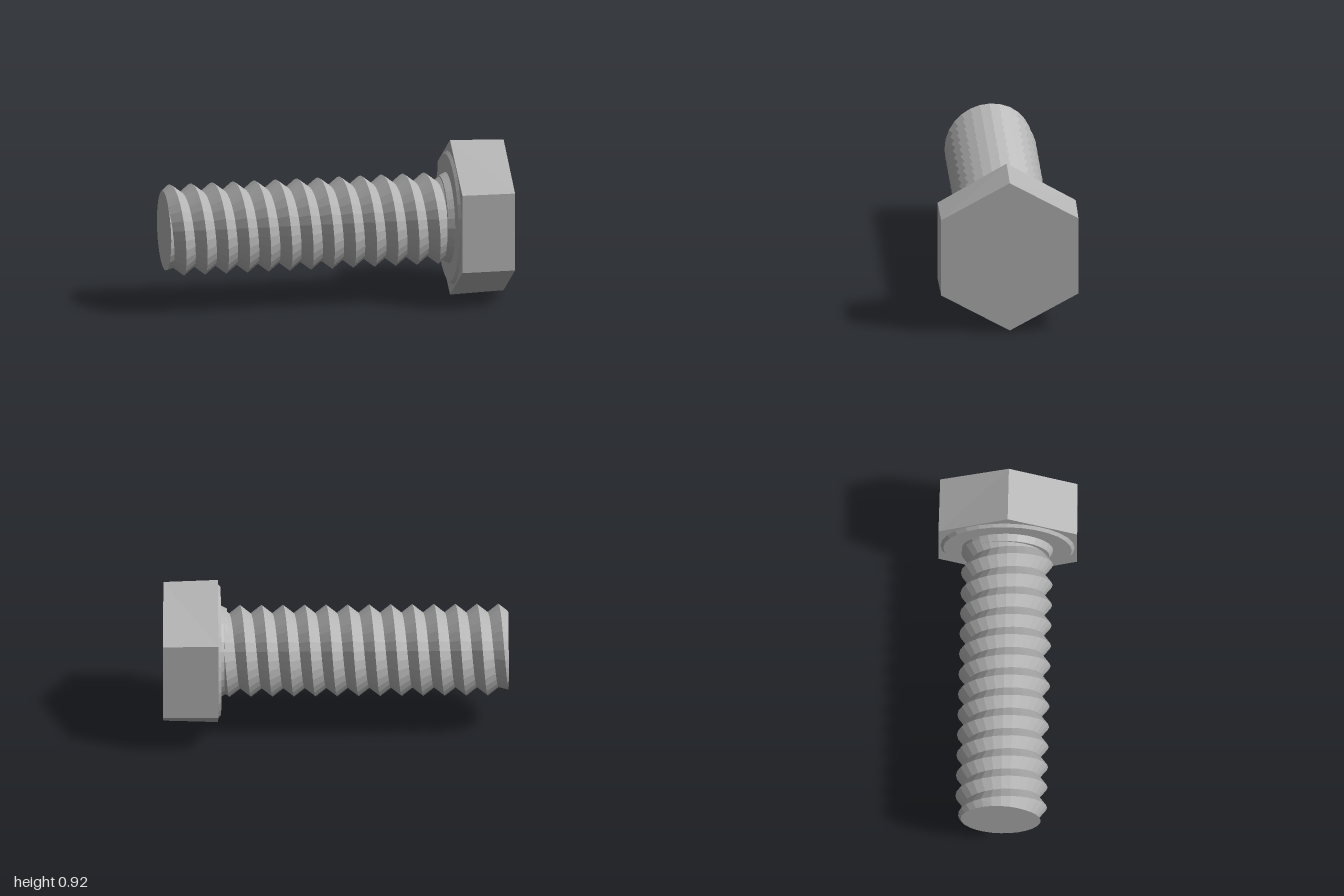
import * as THREE from 'three';

const AXIS_Y = 0.463;
const steel = new THREE.MeshStandardMaterial({ color: 0xb3b3b3 });
steel.name = 'steel grey';

// Faceted mesh lying along the bolt's axis
function part(name, geometry) {
  const flat = geometry.index ? geometry.toNonIndexed() : geometry;
  flat.computeVertexNormals();
  const mesh = new THREE.Mesh(flat, steel);
  mesh.name = name;
  mesh.position.y = AXIS_Y;
  return mesh;
}

// Cylinder from x0 to x1 with its own radius at each end
function disc(x0, x1, r0, r1, sides, start = 0) {
  return new THREE.CylinderGeometry(r1, r0, x1 - x0, sides, 1, false, start)
    .rotateZ(-Math.PI / 2).translate((x0 + x1) / 2, 0, 0);
}

// Right-handed V thread: crest and root lines wind along the shank
function threadGeometry() {
  const start = -1, end = 0.645, pitch = 0.1245, root = 0.218, crest = 0.266;
  const sides = 28, firstCrest = -0.952;
  const steps = Math.ceil((end - start) / pitch) * 2 + 8;

  const column = (j) => {
    const a = (j % sides) / sides * Math.PI * 2;
    const shift = firstCrest + pitch * a / (Math.PI * 2);
    const at = (x, r) => new THREE.Vector3(x, r * Math.cos(a), r * Math.sin(a));
    const points = [at(start, 0)];
    for (let k = 0; k < steps; k++) {
      // the last column is the first one, one turn further on
      const turn = j === sides ? 2 : 0;
      const x = THREE.MathUtils.clamp(shift + (k - 4 + turn) * pitch / 2, start, end);
      const phase = (x - shift) / pitch;
      const wave = Math.abs(phase - Math.round(phase)) * 2;
      const r = THREE.MathUtils.lerp(crest, root, wave);
      points.push(at(x, Math.min(r, 0.232 + (x - start) * 0.9)));
    }
    points.push(at(end, 0));
    return points;
  };

  const positions = [];
  const triangle = (a, b, c) => {
    const area = b.clone().sub(a).cross(c.clone().sub(a)).length();
    if (area > 1e-7) for (const p of [a, b, c]) positions.push(p.x, p.y, p.z);
  };
  for (let j = 0; j < sides; j++) {
    const p = column(j), q = column(j + 1);
    for (let k = 0; k < p.length - 1; k++) {
      triangle(p[k], q[k], p[k + 1]);
      triangle(q[k], q[k + 1], p[k + 1]);
    }
  }
  const geometry = new THREE.BufferGeometry();
  geometry.setAttribute('position', new THREE.Float32BufferAttribute(positions, 3));
  return geometry;
}

// Hexagonal head, slightly worn at the outer end
function headGeometry() {
  const geometry = disc(0.68, 0.995, 0.462, 0.462, 6, Math.PI / 6);
  const pos = geometry.attributes.position;
  for (let i = 0; i < pos.count; i++) {
    if (pos.getX(i) < 0.8) continue;
    const y = pos.getY(i), z = pos.getZ(i);
    pos.setX(i, 0.995 - z * 0.0125);
    pos.setY(i, Math.abs(y) > 0.4 ? y * 0.975 : y * 0.995);
    pos.setZ(i, z * 0.993);
  }
  return geometry;
}

export function createModel() {
  const bolt = new THREE.Group();
  bolt.name = 'hexBolt';
  bolt.add(
    part('threadedShank', threadGeometry()),
    part('collar', disc(0.625, 0.67, 0.245, 0.268, 28)),
    part('washerFace', disc(0.663, 0.682, 0.372, 0.39, 28)),
    part('hexHead', headGeometry())
  );
  return bolt;
}
